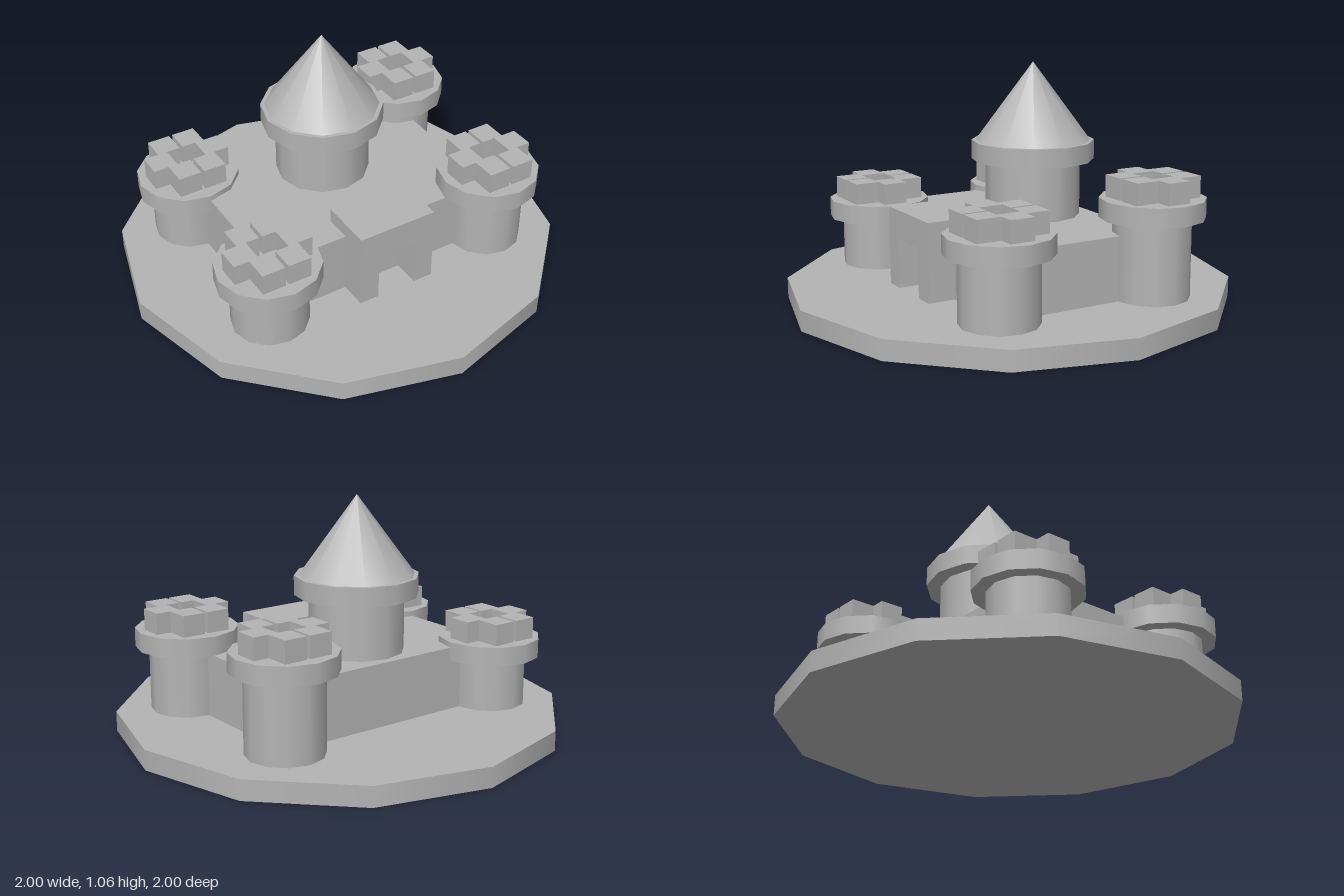
import * as THREE from 'three';

const stone = new THREE.MeshStandardMaterial({ color: 0xb4b4b4 });
stone.name = 'grey stone';

const GROUND = 0.09;
const SIDES = 12;

function add(parent, name, geometry, x = 0, y = 0, z = 0) {
  const mesh = new THREE.Mesh(geometry, stone);
  mesh.name = name;
  mesh.position.set(x, y, z);
  parent.add(mesh);
  return mesh;
}

// Twelve-sided drum between two heights
function drum(parent, name, radius, y0, y1) {
  return add(parent, name, new THREE.CylinderGeometry(radius, radius, y1 - y0, SIDES), 0, (y0 + y1) / 2, 0);
}

// One half of the cross-shaped battlement, wrapped around a square well
function battlementHalf(side, height) {
  const outline = [
    [0.008, 0.165], [0.113, 0.165], [0.113, 0.055], [0.182, 0.055],
    [0.182, -0.055], [0.113, -0.055], [0.113, -0.165], [0.008, -0.165],
    [0.008, -0.055], [0.07, -0.055], [0.07, 0.055], [0.008, 0.055],
  ].map(([x, z]) => new THREE.Vector2(side * x, z));
  const geometry = new THREE.ExtrudeGeometry(new THREE.Shape(outline), { depth: height, bevelEnabled: false });
  return geometry.rotateX(-Math.PI / 2);
}

// Corner tower: shaft, collar and split battlement
function cornerTower(name, x, z, collarBase) {
  const tower = new THREE.Group();
  tower.name = name;
  tower.position.set(x, 0, z);
  const collarTop = collarBase + 0.085;
  drum(tower, 'shaft', 0.17, GROUND, collarBase);
  drum(tower, 'collar', 0.23, collarBase, collarTop);
  for (const side of [-1, 1]) {
    add(tower, side > 0 ? 'leftBattlement' : 'rightBattlement', battlementHalf(side, 0.095), 0, collarTop, 0);
  }
  return tower;
}

export function createModel() {
  const castle = new THREE.Group();
  castle.name = 'castle';

  // Base plate and main block
  drum(castle, 'basePlate', 1, 0, GROUND);
  add(castle, 'mainBlock', new THREE.BoxGeometry(1.126, 0.285, 0.75), 0, GROUND + 0.1425, 0);

  // Gatehouse with a doorway notch
  const gate = new THREE.Shape([
    [-0.185, 0], [-0.093, 0], [-0.093, 0.22], [0.093, 0.22],
    [0.093, 0], [0.185, 0], [0.185, 0.35], [-0.185, 0.35],
  ].map(([x, y]) => new THREE.Vector2(x, y)));
  add(castle, 'gatehouse', new THREE.ExtrudeGeometry(gate, { depth: 0.25, bevelEnabled: false }), 0, GROUND, 0.25);

  // Keep with a pointed roof
  const keep = new THREE.Group();
  keep.name = 'keep';
  keep.position.z = -0.127;
  drum(keep, 'keepShaft', 0.212, GROUND, 0.627);
  drum(keep, 'keepCollar', 0.275, 0.627, 0.713);
  add(keep, 'keepRoof', new THREE.ConeGeometry(0.257, 0.35, SIDES), 0, 0.888, 0);
  castle.add(keep);

  // Corner towers of differing heights
  castle.add(
    cornerTower('frontRightTower', -0.563, 0.375, 0.315),
    cornerTower('backRightTower', -0.563, -0.378, 0.315),
    cornerTower('frontLeftTower', 0.563, 0.375, 0.378),
    cornerTower('backLeftTower', 0.563, -0.378, 0.44),
  );
  return castle;
}
